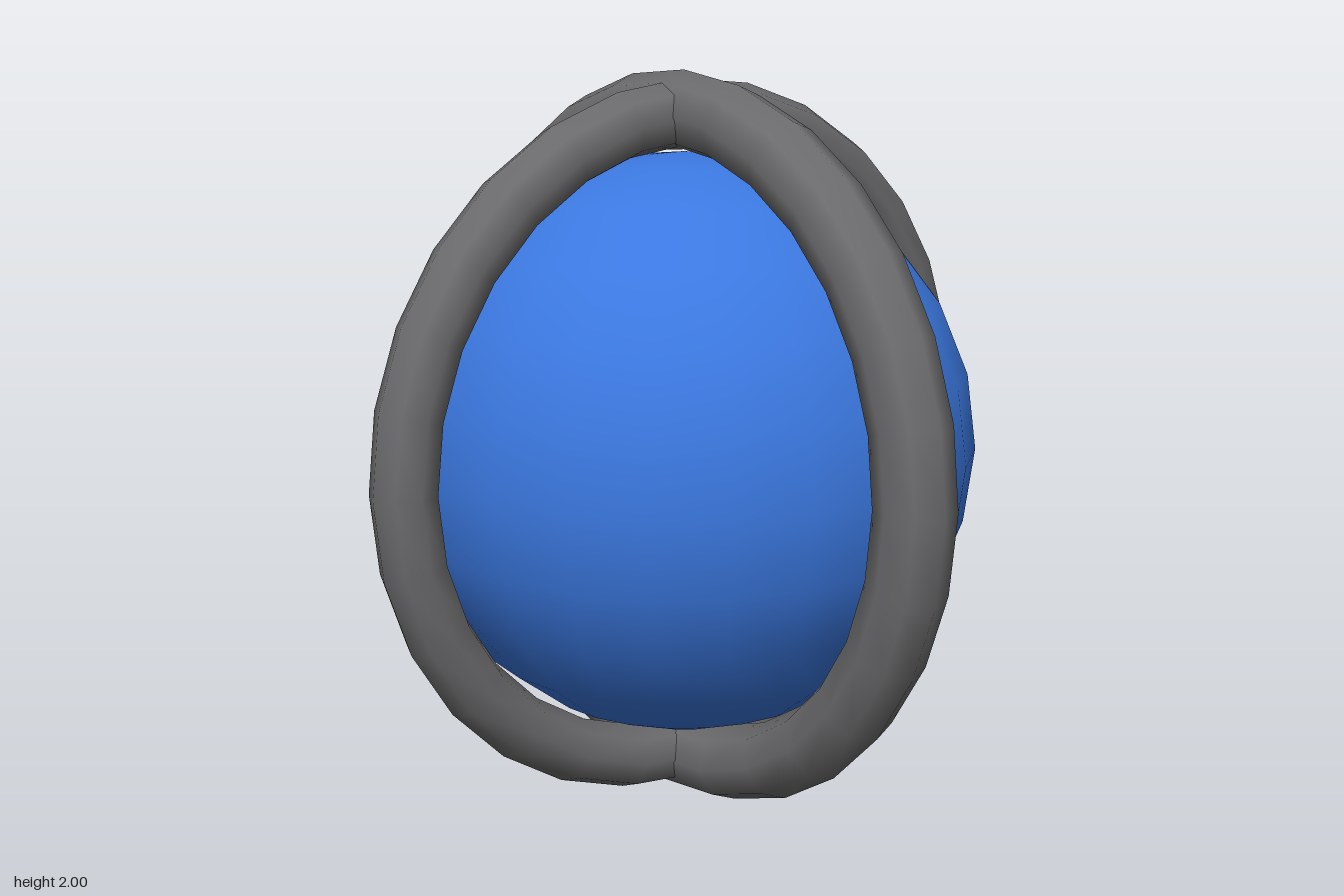
import * as THREE from 'three';

export function createModel() {
  const model = new THREE.Group();
  model.name = 'cagedSphere';

  const blue = new THREE.MeshStandardMaterial({ color: 0x3b78e0 });
  const darkGrey = new THREE.MeshStandardMaterial({ color: 0x6c6c6e });

  const add = (name, geometry, material, turn = 0) => {
    const mesh = new THREE.Mesh(geometry, material);
    mesh.name = name;
    mesh.position.y = 1;
    mesh.rotation.y = turn;
    model.add(mesh);
  };

  // Core ball
  add('ball', new THREE.SphereGeometry(0.787, 24, 12), blue);

  // Two upright rings crossing at the top and bottom; the side-facing one is thicker
  add('thinRing', new THREE.TorusGeometry(0.89, 0.088, 8, 28), darkGrey);
  add('thickRing', new THREE.TorusGeometry(0.896, 0.104, 8, 28), darkGrey, Math.PI / 2);

  return model;
}
